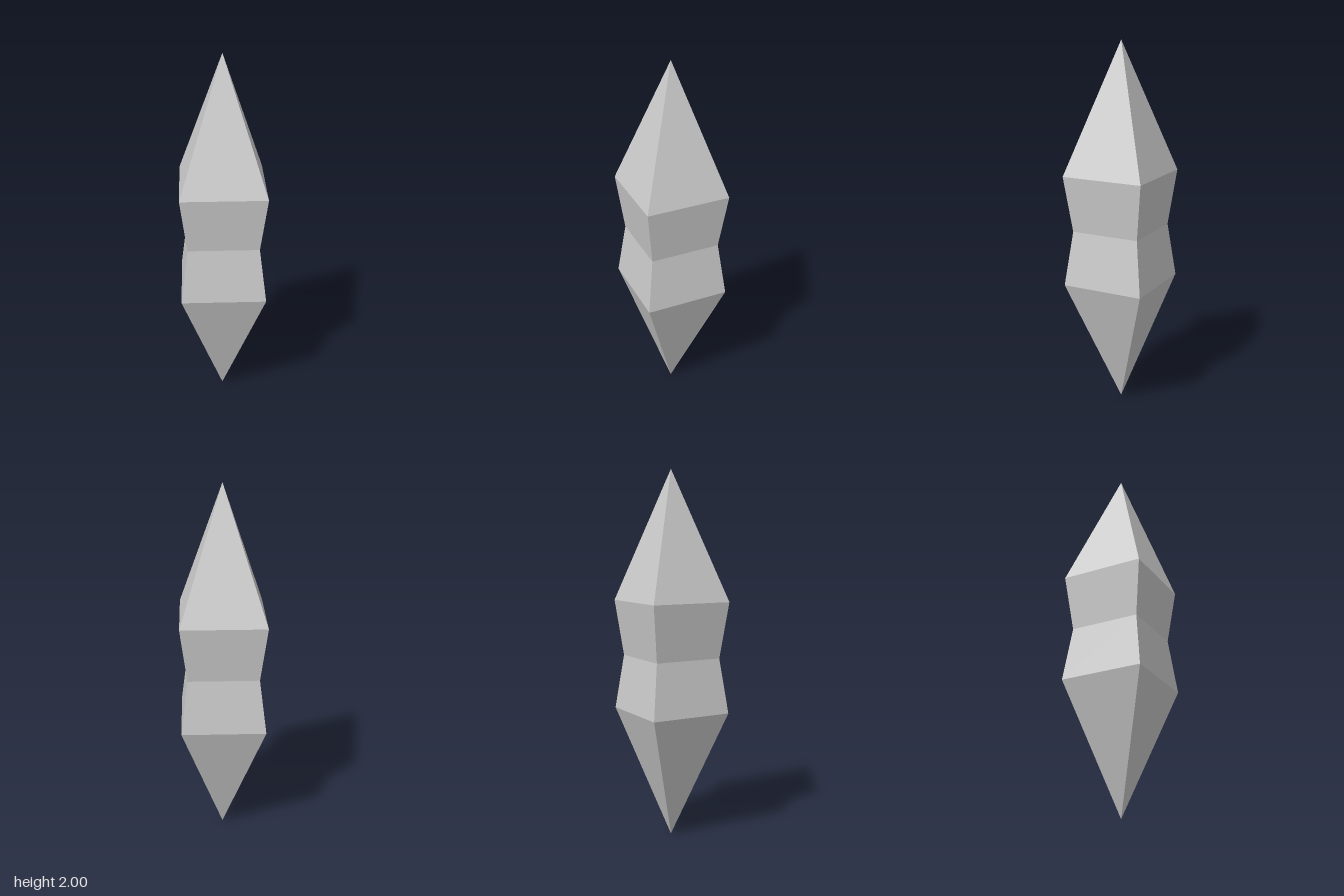
import * as THREE from 'three';

// Square crystal: [half width, height] from the lower tip to the upper tip
const PROFILE = [[0, 0], [0.227, 0.703], [0.19, 1], [0.227, 1.303], [0, 2]];

export function createModel() {
  const group = new THREE.Group();
  group.name = 'crystal';
  const material = new THREE.MeshStandardMaterial({ color: 0xcccccc, flatShading: true });
  const names = ['lowerPoint', 'lowerWaist', 'upperWaist', 'upperPoint'];

  // Each tier is an open four-sided frustum, turned so its flats face the axes
  names.forEach((name, i) => {
    const [w0, y0] = PROFILE[i];
    const [w1, y1] = PROFILE[i + 1];
    const geometry = new THREE.CylinderGeometry(
      w1 * Math.SQRT2, w0 * Math.SQRT2, y1 - y0, 4, 1, true, Math.PI / 4
    ).toNonIndexed();
    geometry.computeVertexNormals();
    const tier = new THREE.Mesh(geometry, material);
    tier.name = name;
    tier.position.y = (y0 + y1) / 2;
    group.add(tier);
  });
  return group;
}
